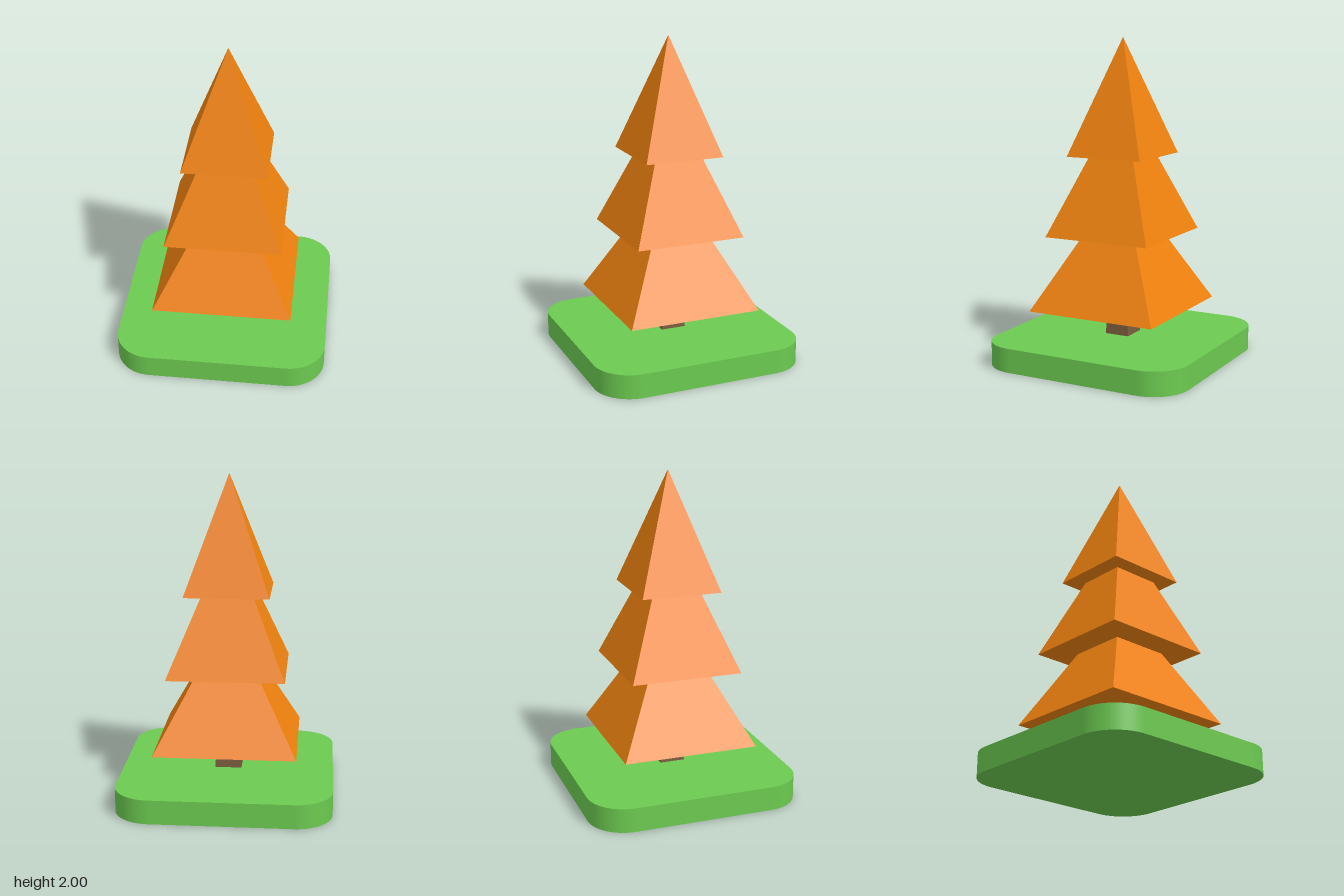
import * as THREE from 'three';

// Square pyramid or tapered post with its sides facing the axes
function taperedSquare(halfX, halfZ, topRatio, height) {
  const geo = new THREE.CylinderGeometry(topRatio * Math.SQRT2, Math.SQRT2, height, 4);
  geo.rotateY(Math.PI / 4);
  geo.scale(halfX, 1, halfZ);
  geo.translate(0, height / 2, 0);
  const flat = geo.toNonIndexed();
  flat.computeVertexNormals();
  return flat;
}

// Square outline with rounded corners
function roundedSquare(half, radius) {
  const s = new THREE.Shape();
  const c = half - radius;
  s.absarc(c, c, radius, 0, Math.PI / 2);
  s.absarc(-c, c, radius, Math.PI / 2, Math.PI);
  s.absarc(-c, -c, radius, Math.PI, Math.PI * 1.5);
  s.absarc(c, -c, radius, Math.PI * 1.5, Math.PI * 2);
  s.closePath();
  return s;
}

export function createModel() {
  const group = new THREE.Group();
  const add = (name, geometry, color, y, flatShading = true) => {
    const mesh = new THREE.Mesh(geometry, new THREE.MeshStandardMaterial({ color, flatShading }));
    mesh.name = name;
    mesh.position.y = y;
    group.add(mesh);
  };

  // Grass slab
  const slab = new THREE.ExtrudeGeometry(roundedSquare(0.66, 0.23), {
    depth: 0.15, bevelEnabled: false, curveSegments: 16,
  });
  slab.rotateX(-Math.PI / 2);
  add('grassBase', slab, 0x6cca50, 0);

  // Trunk, reaching up into the lowest tier
  add('trunk', taperedSquare(0.083, 0.079, 0.8, 0.25), 0x7a5c3c, 0.15);

  // Foliage tiers: half width, half depth, base height, apex height
  const tiers = [
    ['lowerFoliage', 0.436, 0.42, 0.33, 1.13],
    ['middleFoliage', 0.36, 0.346, 0.79, 1.65],
    ['upperFoliage', 0.26, 0.25, 1.28, 2],
  ];
  for (const [name, hx, hz, y, apex] of tiers) {
    add(name, taperedSquare(hx, hz, 0, apex - y), 0xf0820f, y);
  }
  return group;
}
